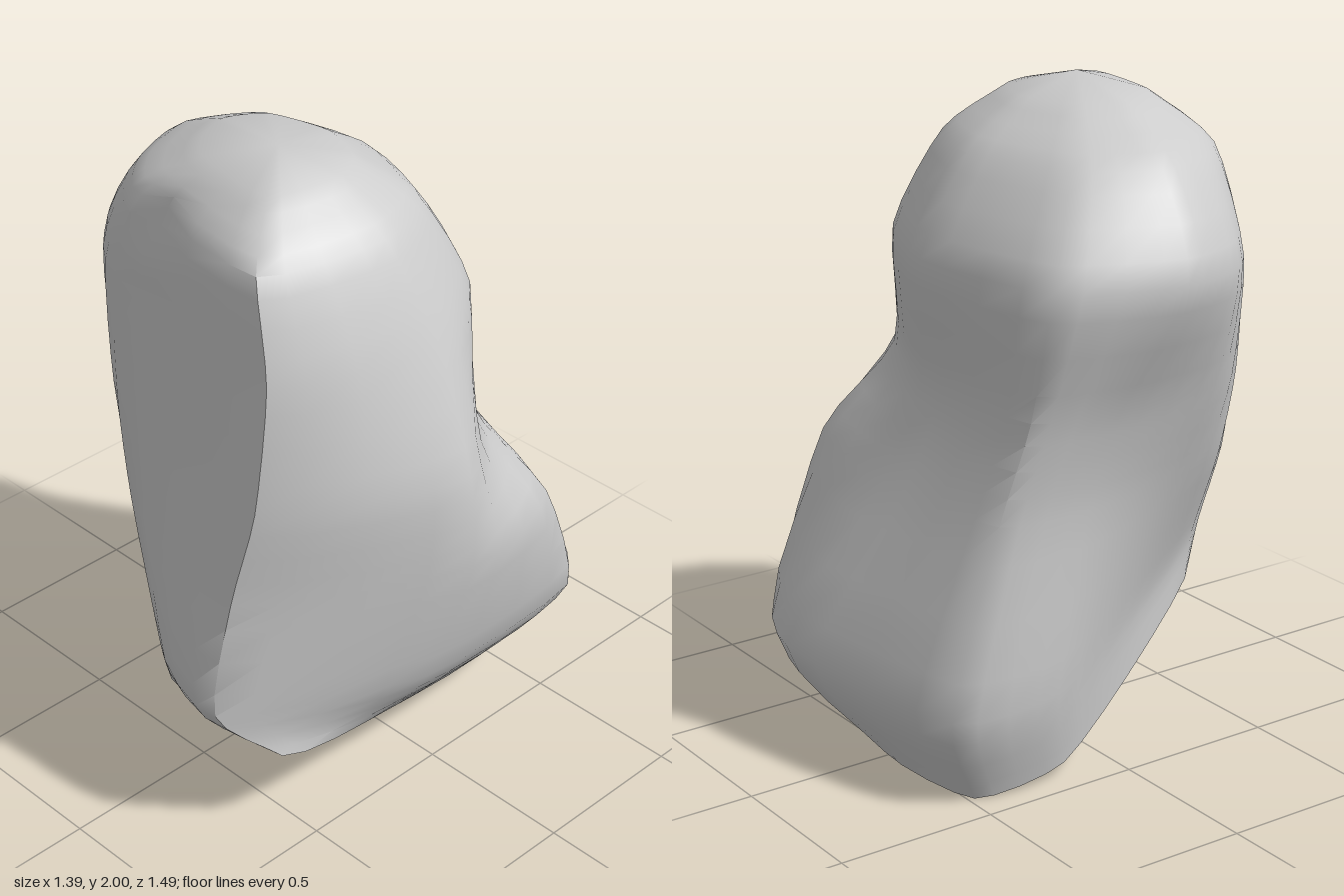
import * as THREE from 'three';
import { toCreasedNormals } from 'three/addons/utils/BufferGeometryUtils.js';

// Outlines from bottom to top: height, then x,z pairs for the front-left ridge,
// front-right ridge, right, back-right, back, back-left, left and front-left hollow.
const SECTIONS = [
  [0.14, 0, 0.62, 0.44, 0.58, 0.45, 0.15, 0.36, -0.42, -0.05, -0.57, -0.39, -0.48, -0.42, -0.18, -0.25, 0.23],
  [0.38, -0.01, 0.65, 0.33, 0.74, 0.6, 0.14, 0.53, -0.57, 0.22, -0.74, -0.44, -0.59, -0.49, -0.25, -0.27, 0.22],
  [0.85, -0.26, 0.53, 0.34, 0.68, 0.69, 0.06, 0.58, -0.38, 0.05, -0.5, -0.45, -0.43, -0.49, -0.15, -0.42, 0.22],
  [1.15, -0.35, 0.49, 0.38, 0.62, 0.67, 0.06, 0.41, -0.22, 0.02, -0.38, -0.49, -0.35, -0.55, -0.08, -0.52, 0.28],
  [1.53, -0.39, 0.45, 0.37, 0.56, 0.52, 0.05, 0.36, -0.25, -0.03, -0.41, -0.55, -0.32, -0.7, 0.03, -0.63, 0.27],
  [1.82, -0.28, 0.44, 0.28, 0.51, 0.38, 0.12, 0.28, -0.12, -0.03, -0.24, -0.4, -0.15, -0.53, 0.07, -0.45, 0.29],
];
// Extra lift of the underside at each corner, broken away at the front left
const LIFT = [0.75, 0, 0, 0, 0, 0, 0, 0.5];
const STEPS = 4;
const CROWN = new THREE.Vector3(0.02, 2, 0.18);
const PIT = new THREE.Vector3(-0.19, 1.8, 0.45);

// Closed smooth ring through an outline; the low rings tilt up to the front right
function ring([y, ...xz]) {
  const tilt = 0.2 * Math.max(0, 1 - y / 0.7);
  const corners = LIFT.map((lift, i) => {
    const x = xz[2 * i], z = xz[2 * i + 1];
    return new THREE.Vector3(x, y + tilt * (x + z + lift), z);
  });
  const count = corners.length * STEPS;
  const curve = new THREE.CatmullRomCurve3(corners, true, 'catmullrom', 0.3);
  return Array.from({ length: count }, (_, i) => curve.getPoint(i / count));
}

function boulderGeometry() {
  const rings = SECTIONS.map(ring);
  // Shoulder ring drawn in towards the crown
  rings.push(rings.at(-1).map((v) => v.clone().lerp(CROWN, 0.47).setY(1.955)));

  const cols = rings[0].length;
  const rows = (rings.length - 1) * STEPS + 1;
  const columns = rings[0].map((_, j) =>
    new THREE.CatmullRomCurve3(rings.map((r) => r[j]), false, 'catmullrom', 0.35));
  const positions = [], index = [];

  // Skin, with a small pit high on the front
  for (let i = 0; i < rows; i++) {
    for (const column of columns) {
      const v = column.getPoint(i / (rows - 1));
      v.z -= 0.06 * Math.max(0, 1 - v.distanceTo(PIT) / 0.12);
      positions.push(v.x, v.y, v.z);
    }
  }
  for (let i = 0; i < rows - 1; i++) {
    for (let j = 0; j < cols; j++) {
      const a = i * cols + j, b = i * cols + (j + 1) % cols;
      index.push(a, b, b + cols, a, b + cols, a + cols);
    }
  }

  // Close the sloping underside and the crown
  const bottom = rows * cols, top = bottom + 1, last = (rows - 1) * cols;
  positions.push(-0.02, 0.14, -0.05, ...CROWN.toArray());
  for (let j = 0; j < cols; j++) {
    const k = (j + 1) % cols;
    index.push(bottom, k, j, top, last + j, last + k);
  }

  const geometry = new THREE.BufferGeometry();
  geometry.setAttribute('position', new THREE.Float32BufferAttribute(positions, 3));
  geometry.setIndex(index);
  return toCreasedNormals(geometry, 0.75);
}

export function createModel() {
  const group = new THREE.Group();
  group.name = 'rock';
  const boulder = new THREE.Mesh(boulderGeometry(), new THREE.MeshStandardMaterial({ color: 0xcccccc }));
  boulder.name = 'boulder';
  group.add(boulder);
  return group;
}
